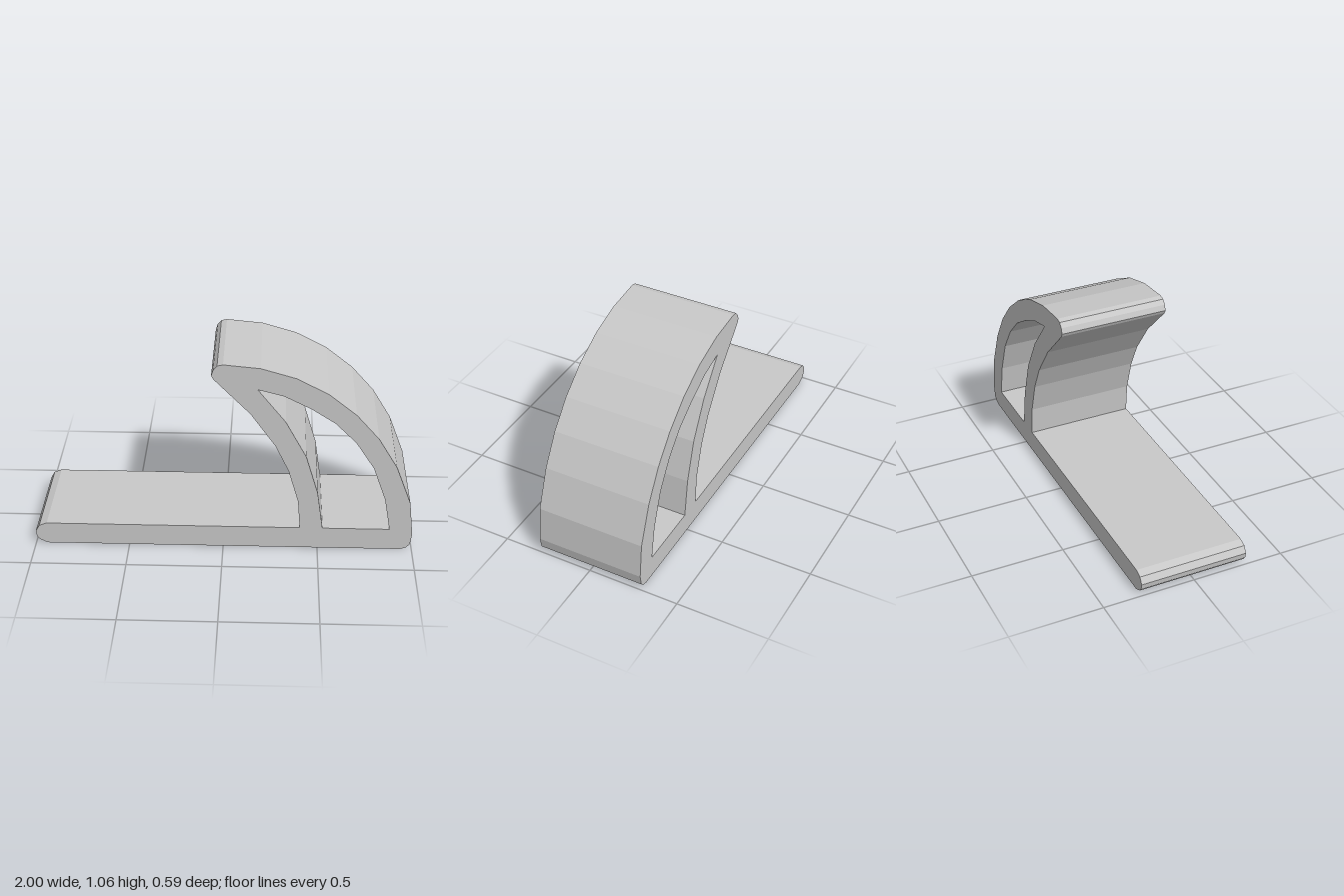
import * as THREE from 'three';

const DEPTH = 0.588;
const points = (list) => list.map(([x, y]) => new THREE.Vector2(x, y));

export function createModel() {
  const group = new THREE.Group();
  group.name = 'curvedStand';
  const grey = new THREE.MeshStandardMaterial({ color: 0xc8c8c8, flatShading: true });
  grey.name = 'light grey';

  // Side profile: flat base, outer arch, rounded tip and inner strut
  const profile = new THREE.Shape(points([
    [-0.94, 0], [0.94, 0], [0.97, 0.01], [0.99, 0.03], [1, 0.09],
    [0.98, 0.28], [0.9, 0.49], [0.8, 0.655], [0.68, 0.79], [0.535, 0.905],
    [0.37, 0.99], [0.19, 1.042], [0, 1.06],
    [-0.03, 1.053], [-0.05, 1.03], [-0.06, 1], [-0.05, 0.98],
    [0.14, 0.787], [0.27, 0.605], [0.34, 0.46], [0.393, 0.28], [0.405, 0.12],
    [-0.94, 0.12], [-0.98, 0.105], [-1, 0.07], [-0.995, 0.04], [-0.98, 0.02],
  ]));

  // Opening between the arch and the strut
  profile.holes.push(new THREE.Path(points([
    [0.525, 0.12], [0.495, 0.33], [0.43, 0.545], [0.32, 0.745], [0.175, 0.925],
    [0.31, 0.89], [0.45, 0.82], [0.575, 0.74], [0.685, 0.63], [0.78, 0.485],
    [0.847, 0.3], [0.878, 0.12],
  ])));

  const geometry = new THREE.ExtrudeGeometry(profile, { depth: DEPTH, bevelEnabled: false });
  geometry.translate(0, 0, -DEPTH / 2);
  const stand = new THREE.Mesh(geometry, grey);
  stand.name = 'baseArchAndStrut';
  group.add(stand);
  return group;
}
